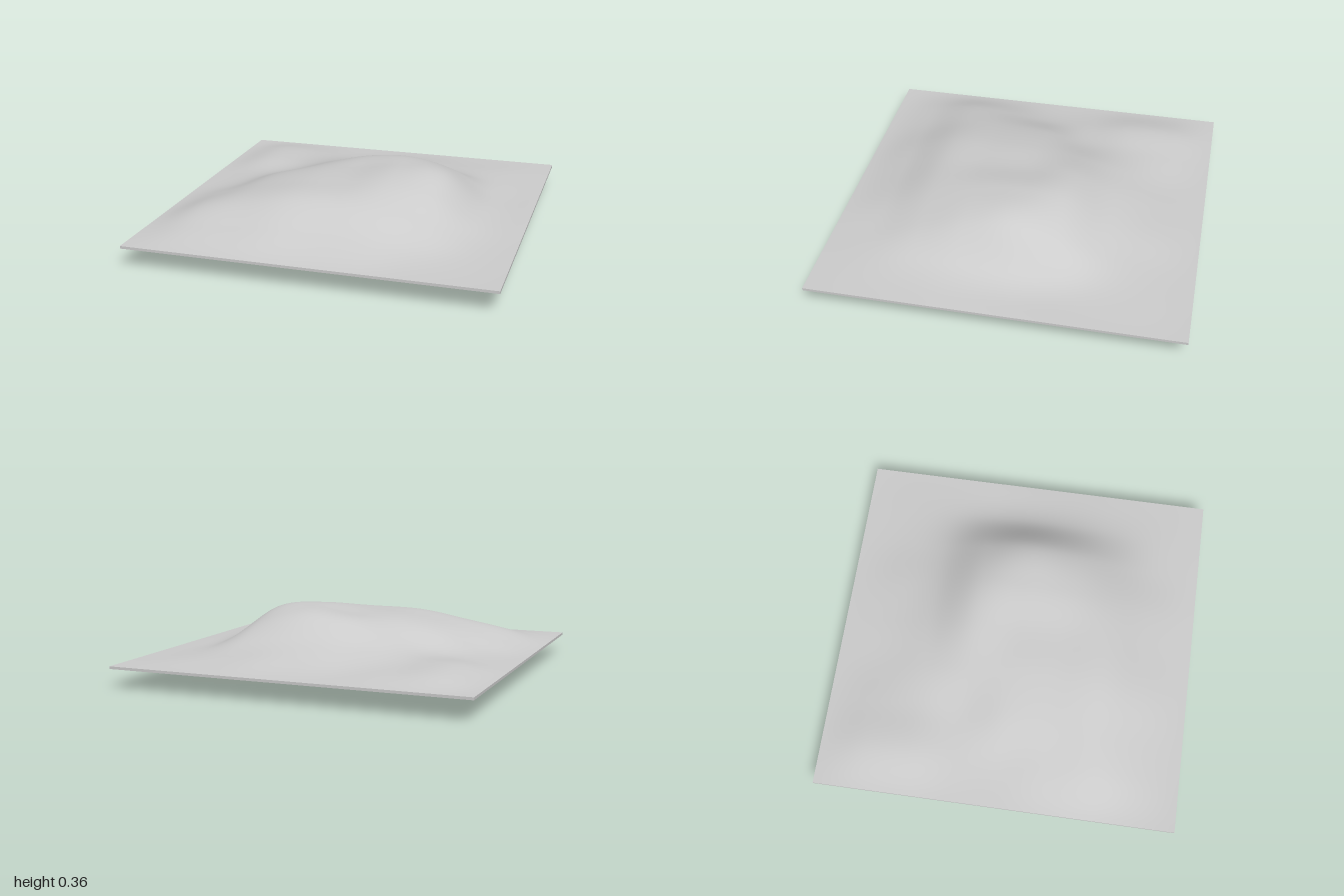
import * as THREE from 'three';

const HALF_X = 0.98, HALF_Z = 0.995;
const RIM_TOP = 0.124, RIM_BOTTOM = 0.11;
const SEGMENTS = 72;

// Relief in hundredths, rows from back to front, columns from -x to +x (border is zero)
const HILL = [
  [4, 3, 2, 3, 3.5, 2, 1],
  [5, 5, 7.5, 9.5, 9, 6, 1.5],
  [3, 6.5, 14, 20, 21.5, 16, 2.5],
  [3.5, 12.5, 18, 20.5, 24, 21.5, 4],
  [6.5, 14, 18.5, 20, 22, 18, 4],
  [8, 13, 17, 17.5, 16, 10.5, 2.5],
  [3.5, 5.5, 7.5, 7, 6, 3, 1],
];
const BELLY = [
  [4, 5, 4, 3, 3, 2, 0.5],
  [5, 6.5, 7, 6, 6, 5, 1],
  [5, 6, 6, 7, 7, 5, 1],
  [5, 6, 7, 8, 8.7, 6, 1],
  [5, 6, 7.5, 7.5, 7.5, 6.5, 1],
  [5.5, 8.5, 10.6, 8, 8, 7.5, 1],
  [2, 3, 3.5, 3, 3, 2.5, 0.5],
];

// Smooth curve through four neighbouring values
function cubic(a, b, c, d, t) {
  return b + 0.5 * t * (c - a + t * (2 * a - 5 * b + 4 * c - d + t * (3 * (b - c) + d - a)));
}

// Relief height at u, v in 0..1
function relief(table, u, v) {
  const at = (row, col) => table[row - 1]?.[col - 1] ?? 0;
  const gx = u * 8, gz = v * 8;
  const i = Math.min(7, Math.floor(gx)), j = Math.min(7, Math.floor(gz));
  const rows = [-1, 0, 1, 2].map((k) =>
    cubic(at(j + k, i - 1), at(j + k, i), at(j + k, i + 1), at(j + k, i + 2), gx - i));
  return Math.max(0, cubic(...rows, gz - j)) / 100;
}

// Displaced sheet; side is +1 for the upper surface, -1 for the lower one
function makeSheet(name, table, level, side, material) {
  const geometry = new THREE.PlaneGeometry(2 * HALF_X, 2 * HALF_Z, SEGMENTS, SEGMENTS);
  geometry.rotateX(-side * Math.PI / 2);
  const p = geometry.attributes.position;
  for (let i = 0; i < p.count; i++) {
    const u = p.getX(i) / (2 * HALF_X) + 0.5;
    const v = p.getZ(i) / (2 * HALF_Z) + 0.5;
    p.setY(i, Math.max(0, level + side * relief(table, u, v)));
  }
  geometry.computeVertexNormals();
  const mesh = new THREE.Mesh(geometry, material);
  mesh.name = name;
  return mesh;
}

export function createModel() {
  const group = new THREE.Group();
  group.name = 'terrainTile';
  const material = new THREE.MeshStandardMaterial({ color: 0xcccccc });

  // Hill and the bulging underside
  group.add(makeSheet('hillSurface', HILL, RIM_TOP, 1, material));
  group.add(makeSheet('underside', BELLY, RIM_BOTTOM, -1, material));

  // Thin four-sided edge joining both sheets
  const rimGeometry = new THREE.CylinderGeometry(Math.SQRT2, Math.SQRT2, RIM_TOP - RIM_BOTTOM, 4, 1, true);
  rimGeometry.rotateY(Math.PI / 4);
  rimGeometry.scale(HALF_X, 1, HALF_Z);
  const rim = new THREE.Mesh(rimGeometry,
    new THREE.MeshStandardMaterial({ color: 0xcccccc, flatShading: true, side: THREE.DoubleSide }));
  rim.position.y = (RIM_TOP + RIM_BOTTOM) / 2;
  rim.name = 'rim';
  group.add(rim);

  return group;
}
